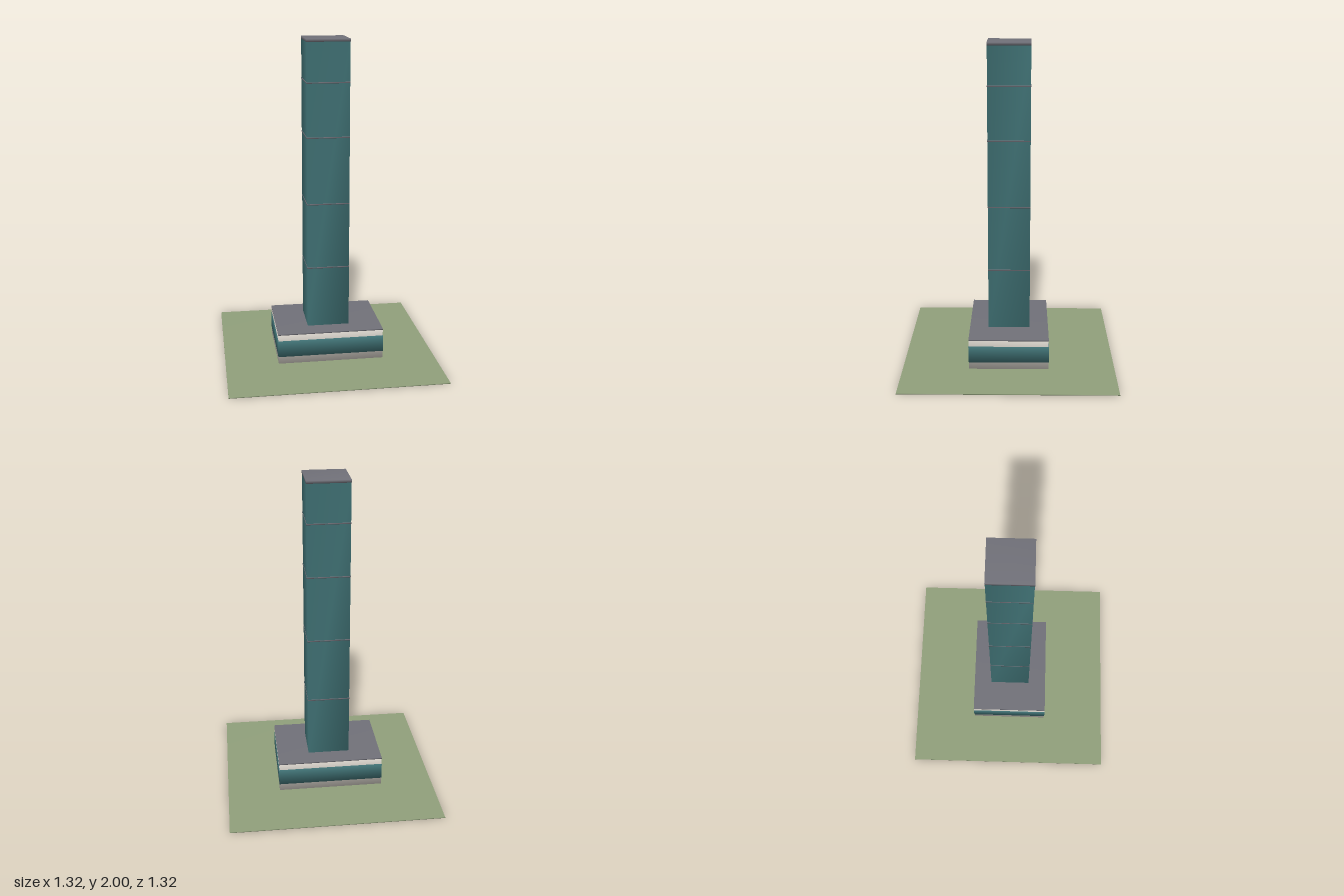
import * as THREE from 'three';
import { mergeVertices } from 'three/addons/utils/BufferGeometryUtils.js';

const material = (name, color) => {
  const m = new THREE.MeshStandardMaterial({ color });
  m.name = name;
  return m;
};

// Box given by width, depth and its bottom and top heights, with soft shared normals
function slab(name, mat, width, depth, bottom, top) {
  let geometry = new THREE.BoxGeometry(width, top - bottom, depth);
  geometry.deleteAttribute('normal');
  geometry.deleteAttribute('uv');
  geometry = mergeVertices(geometry);
  geometry.computeVertexNormals();
  const mesh = new THREE.Mesh(geometry, mat);
  mesh.name = name;
  mesh.position.y = (bottom + top) / 2;
  return mesh;
}

export function createModel() {
  const grass = material('grass green', 0x8f9e7a);
  const stone = material('pale stone', 0xcfcac2);
  const glass = material('teal glass', 0x3f7073);
  const roof = material('roof grey', 0x707078);

  const model = new THREE.Group();
  model.name = 'towerBlock';

  // Lawn
  model.add(slab('lawn', grass, 1.32, 1.32, 0, 0.005));

  // Podium with a window band and flat roof
  const podium = new THREE.Group();
  podium.name = 'podium';
  podium.add(
    slab('podiumWalls', stone, 0.66, 0.496, 0.003, 0.195),
    slab('podiumWindows', glass, 0.664, 0.5, 0.05, 0.155),
    slab('podiumRoof', roof, 0.662, 0.498, 0.193, 0.2),
  );
  model.add(podium);

  // Glass tower with floor bands and a roof cap
  const tower = new THREE.Group();
  tower.name = 'tower';
  tower.add(slab('towerShaft', glass, 0.262, 0.262, 0.19, 1.985));
  for (const y of [0.585, 0.995, 1.41, 1.742]) {
    tower.add(slab('floorBand', roof, 0.265, 0.265, y - 0.004, y + 0.004));
  }
  tower.add(slab('towerRoof', roof, 0.265, 0.265, 1.983, 2));
  model.add(tower);

  return model;
}
